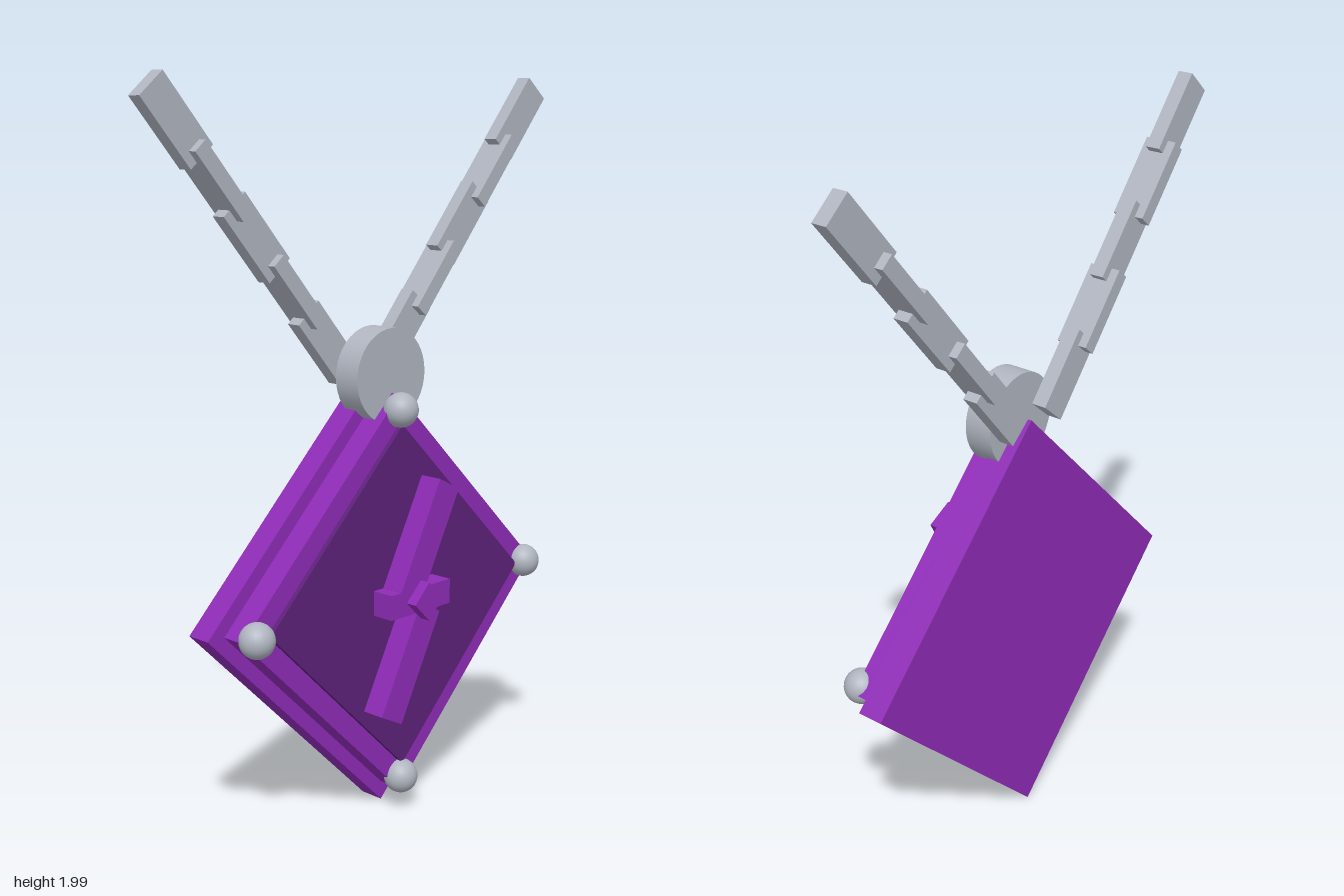
import * as THREE from 'three';

export function createModel() {
  const model = new THREE.Group();
  model.name = 'hangingPendant';
  const mat = (name, color) => {
    const m = new THREE.MeshStandardMaterial({ color });
    m.name = name;
    return m;
  };
  const purple = mat('purple', 0x8e2bb6);
  const darkPurple = mat('darkPurple', 0x5e217a);
  const metal = mat('metal', 0xb0b5c0);

  const add = (name, geometry, material, x, y, z, rotZ = 0) => {
    const mesh = new THREE.Mesh(geometry, material);
    mesh.name = name;
    mesh.position.set(x, y, z);
    mesh.rotation.z = rotZ;
    model.add(mesh);
    return mesh;
  };
  const box = (name, material, [w, h], [z0, z1], x, y, rotZ) =>
    add(name, new THREE.BoxGeometry(w, h, z1 - z0), material, x, y, (z0 + z1) / 2, rotZ);
  const cy = 0.614;

  // Stacked diamond plates, sized by half diagonal
  const diamond = (name, material, half, z, y = cy) =>
    box(name, material, [half * Math.SQRT2, half * Math.SQRT2], z, 0, y, Math.PI / 4);
  diamond('backPlate', purple, 0.608, [-0.106, -0.034]);
  diamond('middlePlate', purple, 0.555, [-0.034, 0.036]);
  diamond('frontPanel', darkPurple, 0.475, [0.036, 0.05]);

  // Raised zigzag emblem
  const tilt = -0.48;
  box('upperStroke', purple, [0.084, 0.32], [0.05, 0.117], 0.037, 0.78, tilt);
  box('lowerStroke', purple, [0.084, 0.32], [0.05, 0.117], -0.037, 0.452, tilt);
  box('crossStroke', purple, [0.226, 0.068], [0.05, 0.116], 0.003, 0.622, 0);
  diamond('emblemStud', purple, 0.053, [0.05, 0.148], 0.624);

  // Corner studs
  const stud = new THREE.SphereGeometry(0.047, 24, 16);
  for (const [x, y] of [[1, 0], [-1, 0], [0, 1], [0, -1]]) {
    add('cornerStud', stud, metal, x * 0.514, cy + y * 0.514, 0.043);
  }

  // Hanging disc
  const disc = new THREE.CylinderGeometry(0.127, 0.127, 0.08, 40).rotateX(Math.PI / 2);
  add('hangingDisc', disc, metal, 0, 1.215, -0.032);

  // Two mirrored chains of alternately turned links
  const angle = 0.87;
  for (const side of [1, -1]) {
    for (let i = 0; i < 5; i++) {
      const turned = i % 2 === 1;
      const width = turned ? 0.042 : 0.09;
      const depth = turned ? 0.09 : 0.042;
      add(side > 0 ? 'leftChainLink' : 'rightChainLink',
        new THREE.BoxGeometry(0.223, width, depth), metal,
        side * (0.139 + i * 0.1205), 1.307 + i * 0.1425, -0.104, side * angle);
    }
  }
  return model;
}
